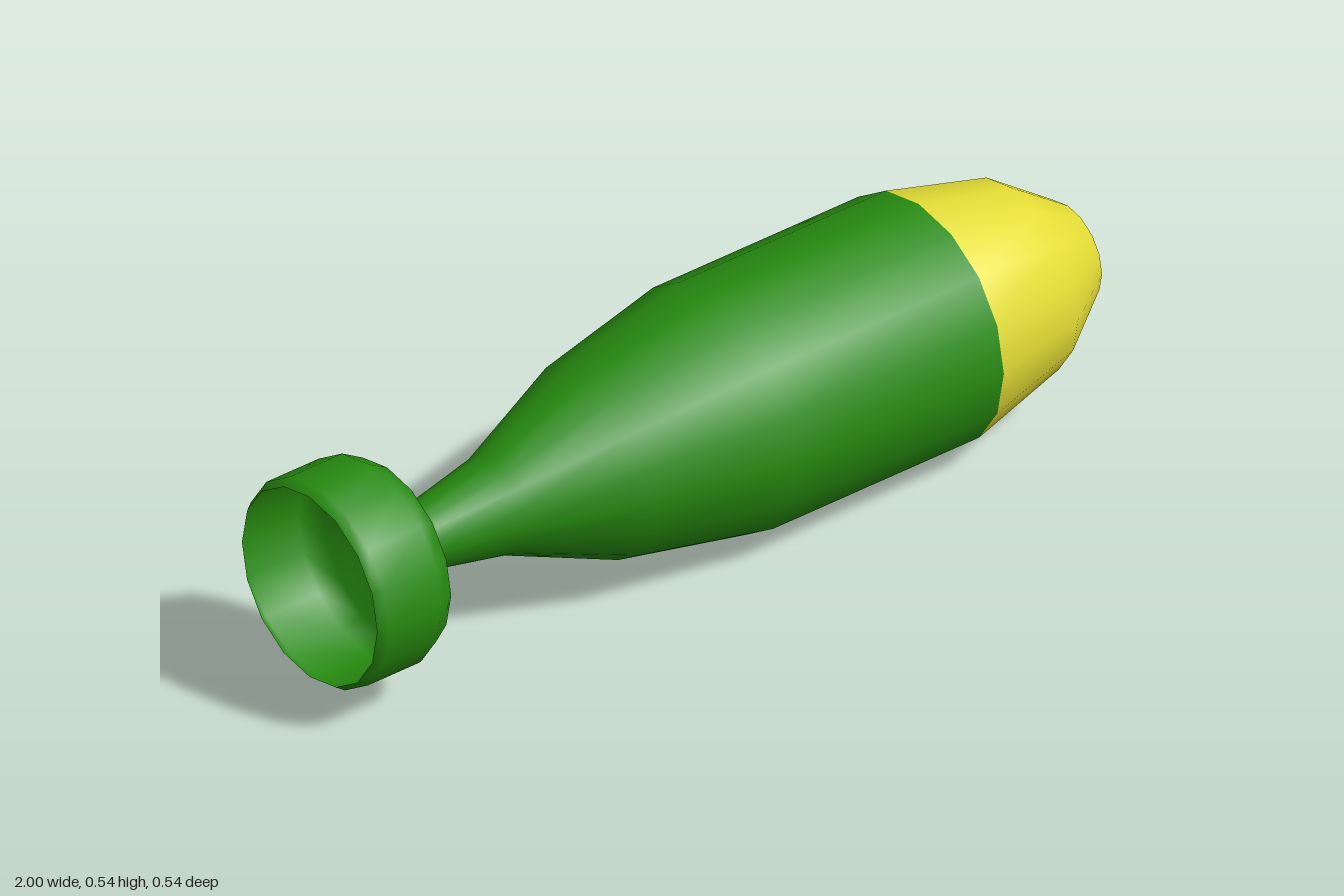
import * as THREE from 'three';

const SIDES = 16;
const AXIS_HEIGHT = 0.27;

// Revolve [x, radius] pairs around the long x axis
function revolve(profile) {
  const points = profile.map(([x, r]) => new THREE.Vector2(r, x));
  return new THREE.LatheGeometry(points, SIDES).rotateZ(-Math.PI / 2);
}

// Keep only the bands of a revolved geometry from one profile row to another
function bands(geometry, rows, from, to) {
  const part = geometry.clone();
  const all = Array.from(geometry.index.array);
  part.setIndex(all.filter((_, i) => {
    const row = Math.floor(i / 6) % (rows - 1);
    return row >= from && row < to;
  }));
  return part;
}

export function createModel() {
  const green = new THREE.MeshStandardMaterial({ color: 0x278c10 });
  const greenOpen = new THREE.MeshStandardMaterial({ color: 0x278c10, side: THREE.DoubleSide });
  greenOpen.name = 'green open shell';
  green.name = 'green';
  const yellow = new THREE.MeshStandardMaterial({ color: 0xe3dc35 });
  yellow.name = 'yellow';

  const model = new THREE.Group();
  model.name = 'bomb';
  const add = (name, geometry, material) => {
    const mesh = new THREE.Mesh(geometry, material);
    mesh.name = name;
    mesh.position.y = AXIS_HEIGHT;
    model.add(mesh);
  };

  // Body and nose share one smooth profile, split at the colour line
  const hull = [
    [-0.74, 0.065], [-0.53, 0.105], [-0.27, 0.21], [0.04, 0.27], [0.57, 0.27],
    [0.81, 0.21], [0.955, 0.108], [1, 0.035], [1, 0],
  ];
  const hullGeometry = revolve(hull);
  add('body', bands(hullGeometry, hull.length, 0, 4), green);
  add('nose', bands(hullGeometry, hull.length, 4, hull.length - 1), yellow);

  // Hollow tail cup, open at the back
  add('tailCup', revolve([
    [-1, 0.214], [-0.98, 0.228], [-0.845, 0.228], [-0.8, 0.203], [-0.74, 0.065],
  ]), greenOpen);

  // Disc closing the neck inside the cup
  add('neckEnd', revolve([[-0.74, 0], [-0.74, 0.066]]), greenOpen);

  return model;
}
